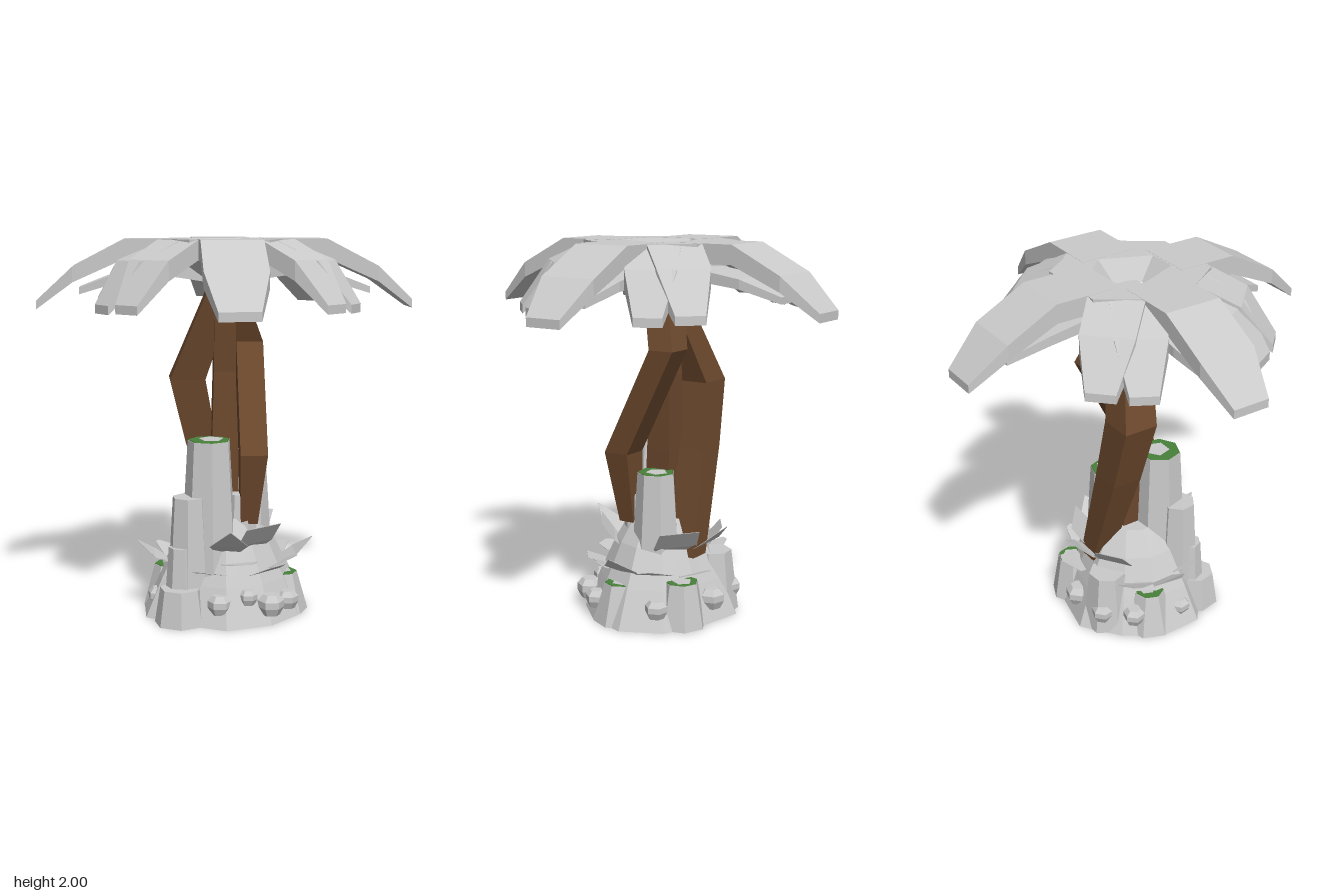
import * as THREE from 'three';

const paint = (name, color, side = THREE.FrontSide) => {
  const m = new THREE.MeshStandardMaterial({ color, side, flatShading: true });
  m.name = name;
  return m;
};

// Skin between rings of points, flat shaded, with optional end caps
function loft(rings, capped = true) {
  const pos = [], n = rings[0].length;
  const tri = (a, b, c) => pos.push(...a, ...b, ...c);
  for (let r = 0; r < rings.length - 1; r++) {
    const a = rings[r], b = rings[r + 1];
    for (let i = 0; i < n; i++) {
      const j = (i + 1) % n;
      tri(a[i], a[j], b[j]);
      tri(a[i], b[j], b[i]);
    }
  }
  if (capped) {
    const s = rings[0], e = rings[rings.length - 1];
    for (let i = 1; i < n - 1; i++) {
      tri(s[0], s[i + 1], s[i]);
      tri(e[0], e[i], e[i + 1]);
    }
  }
  const g = new THREE.BufferGeometry();
  g.setAttribute('position', new THREE.Float32BufferAttribute(pos, 3));
  g.computeVertexNormals();
  return g;
}

// Level ring of n points around (x, z), with mildly uneven radii
const ring = (x, y, z, r, n, turn = 0, rough = 0, sx = 1) =>
  Array.from({ length: n }, (_, i) => {
    const a = turn + (i / n) * Math.PI * 2;
    const q = r * (1 + rough * Math.sin(i * 2.4 + turn * 5));
    return [x + q * sx * Math.cos(a), y, z - q * Math.sin(a)];
  });

export function createModel() {
  const model = new THREE.Group();
  const stone = paint('paleGrey', 0xcacaca);
  const thin = paint('paleGreyThin', 0xcacaca, THREE.DoubleSide);
  const bark = paint('barkBrown', 0x6b482d);
  const moss = paint('mossGreen', 0x478039);
  const add = (name, geo, mat, parent = model) => {
    const m = new THREE.Mesh(geo, mat);
    m.name = name;
    parent.add(m);
    return m;
  };

  // Fronds: rows are [distance out, top y, half width, thickness]
  const canopy = new THREE.Group();
  canopy.name = 'canopy';
  model.add(canopy);
  const frond = (name, deg, rows) => {
    const geo = loft(rows.map(([r, y, w, t]) =>
      [[w, y - t, r], [w, y, r], [-w, y, r], [-w, y - t, r]]));
    add(name, geo, stone, canopy).rotation.y = THREE.MathUtils.degToRad(deg);
  };
  const longRows = [[0.2, 2, 0.155, 0.1], [0.52, 2, 0.155, 0.1], [0.79, 1.86, 0.155, 0.08], [0.98, 1.685, 0.1, 0.045]];
  const lowRows = [[0.07, 1.87, 0.05, 0.1], [0.3, 1.87, 0.13, 0.06], [0.55, 1.83, 0.13, 0.05], [0.76, 1.75, 0.08, 0.035]];
  const sideRows = [[0.2, 1.997, 0.1, 0.1], [0.36, 1.997, 0.14, 0.1], [0.57, 1.9, 0.135, 0.1], [0.73, 1.685, 0.075, 0.045]];
  for (let k = 0; k < 4; k++) {
    frond('longFrond', k * 90, longRows);
    frond('lowerFrond', k * 90, lowRows);
  }
  for (const s of [1, -1]) {
    for (const base of [0, 180]) {
      frond('cornerFrond', base + s * 45, sideRows);
      frond('cornerFrond', base + s * 61, sideRows.map(([r, y, w, t]) => [r, y - 0.008, w * 0.94, t]));
    }
  }

  // Flat crown plate with a six-sided opening
  const hole = [[0.1, -0.16], [0.19, -0.07], [0.08, 0.19], [-0.08, 0.19], [-0.19, -0.07], [-0.1, -0.16]];
  const plate = new THREE.Shape(
    [[0.33, 0.16], [0.2, 0.35], [-0.2, 0.35], [-0.33, 0.16], [-0.33, -0.16], [-0.2, -0.35], [0.2, -0.35], [0.33, -0.16]]
      .map(p => new THREE.Vector2(...p)));
  plate.holes.push(new THREE.Path(hole.map(([x, z]) => new THREE.Vector2(x, -z))));
  const plateGeo = new THREE.ExtrudeGeometry(plate, { depth: 0.09, bevelEnabled: false });
  plateGeo.rotateX(-Math.PI / 2).translate(0, 1.909, 0);
  add('crownPlate', plateGeo, stone, canopy);
  const at = (k, y) => hole.map(([x, z]) => [x * k, y, z * k]);
  add('crownFunnel', loft([at(1, 1.999), at(0.5, 1.89)], false), thin, canopy);
  const heart = new THREE.BoxGeometry(0.15, 0.14, 0.15);
  add('crownHeart', heart, stone, canopy).position.y = 1.83;
  add('crownUnderside', loft([ring(0, 1.76, 0, 0.08, 8), ring(0, 1.92, 0, 0.33, 8)], false), stone, canopy);

  // Three bent trunks, listed from foot to crown as [x, y, z, half width]
  const trunk = (name, path) => add(name, loft(path.map(([x, y, z, w]) =>
    [[x + w, y, z + w], [x + w, y, z - w], [x - w, y, z - w], [x - w, y, z + w]])), bark);
  trunk('leftTrunk', [[0.03, 0.34, -0.21, 0.06], [-0.12, 0.9, -0.16, 0.085], [-0.195, 1.25, -0.13, 0.095], [-0.03, 1.7, -0.03, 0.075], [0, 1.84, 0, 0.06]]);
  trunk('rightTrunk', [[0.12, 0.5, 0.11, 0.045], [0.14, 0.88, 0.145, 0.072], [0.14, 1.45, -0.14, 0.072], [0.04, 1.7, -0.05, 0.075], [0, 1.84, 0, 0.06]]);
  trunk('middleTrunk', [[0.0, 0.45, -0.02, 0.075], [0.0, 0.9, -0.03, 0.07], [0.0, 1.3, -0.04, 0.058], [0, 1.8, 0, 0.055]]);

  // Rock mound
  const rocks = new THREE.Group();
  rocks.name = 'rocks';
  model.add(rocks);
  add('mound', loft([
    ring(0, 0, 0, 0.405, 11, 0.1, 0.06, 1.1),
    ring(0, 0.2, 0, 0.325, 11, 0.1, 0.06, 1.1),
    ring(0, 0.4, 0, 0.235, 11, 0.1, 0.05, 1.1),
    ring(0, 0.53, 0, 0.165, 11, 0.1, 0.05)]), stone, rocks);

  // Tapered stone pillars: x, z, top radius, foot radius, height, mossy top
  const pillars = [
    [-0.09, 0.125, 0.115, 0.17, 0.95, true],
    [-0.2, 0.18, 0.09, 0.13, 0.66, false],
    [0.13, -0.06, 0.1, 0.15, 0.79, true],
    [0.08, 0.08, 0.075, 0.12, 0.655, false],
    [-0.24, 0.22, 0.07, 0.1, 0.4, false],
    [-0.25, 0.26, 0.11, 0.14, 0.19, false],
    [0.3, 0.05, 0.09, 0.15, 0.21, true],
    [0.19, -0.26, 0.09, 0.13, 0.24, true],
    [-0.3, -0.08, 0.08, 0.14, 0.23, true],
    [-0.14, -0.25, 0.1, 0.14, 0.33, false],
  ];
  pillars.forEach(([x, z, rt, rb, h, green], i) => {
    const turn = i * 0.7 + 0.3;
    add('pillar', loft([ring(x, 0, z, rb, 7, turn), ring(x, h, z, rt, 7, turn)]), stone, rocks);
    if (!green) return;
    add('mossCap', loft([ring(x, h, z, rt * 0.98, 7, turn), ring(x, h + 0.004, z, rt * 0.96, 7, turn)]), moss, rocks);
    add('bareTop', loft([ring(x + 0.01, h, z - 0.01, rt * 0.6, 5, turn), ring(x + 0.01, h + 0.007, z - 0.01, rt * 0.58, 5, turn)]), stone, rocks);
  });

  // Small faceted boulders around the foot: x, y, z, radius
  const boulders = [
    [0.22, 0.11, 0.32, 0.07], [-0.05, 0.12, 0.34, 0.065], [0.1, 0.15, 0.32, 0.05],
    [0.32, 0.1, 0.2, 0.06], [0.34, 0.12, -0.2, 0.06], [-0.33, 0.13, -0.2, 0.06],
    [0.02, 0.12, -0.34, 0.07], [-0.2, 0.12, -0.32, 0.06], [-0.36, 0.1, 0.08, 0.06],
  ];
  boulders.forEach(([x, y, z, r], i) => add('boulder', loft([
    ring(x, y - r * 0.8, z, r * 0.7, 6, i),
    ring(x, y - r * 0.2, z, r, 6, i),
    ring(x, y + r * 0.3, z, r, 6, i),
    ring(x, y + r * 0.75, z, r * 0.6, 6, i)]), stone, rocks));

  // Thin blades: degrees from front, base radius and y, tip radius and y, half width, tip half width
  const blades = [
    [0, 0.2, 0.35, 0.42, 0.52, 0.1, 0.003], [180, 0.2, 0.35, 0.42, 0.52, 0.1, 0.003],
    [90, 0.28, 0.26, 0.48, 0.39, 0.1, 0.003], [-90, 0.28, 0.26, 0.48, 0.39, 0.1, 0.003],
    [36, 0.18, 0.34, 0.32, 0.51, 0.12, 0.12], [142, 0.18, 0.34, 0.32, 0.5, 0.12, 0.11],
    [-145, 0.2, 0.33, 0.33, 0.47, 0.11, 0.08],
    [-20, 0.22, 0.25, 0.4, 0.3, 0.1, 0.01], [40, 0.22, 0.23, 0.4, 0.31, 0.11, 0.06],
    [12, 0.2, 0.31, 0.35, 0.33, 0.1, 0.05], [65, 0.22, 0.25, 0.41, 0.33, 0.1, 0.02],
    [118, 0.22, 0.25, 0.41, 0.32, 0.1, 0.02], [160, 0.22, 0.24, 0.4, 0.3, 0.1, 0.03],
    [-60, 0.22, 0.27, 0.4, 0.33, 0.09, 0.01], [-118, 0.22, 0.25, 0.41, 0.33, 0.1, 0.02],
  ];
  for (const [deg, r0, y0, r1, y1, w, tw] of blades) {
    const rm = r0 + (r1 - r0) * 0.5, ym = y0 + (y1 - y0) * 0.42;
    const row = (r, y, h) => [[h, y - 0.003, r], [h, y, r], [-h, y, r], [-h, y - 0.003, r]];
    const geo = loft([row(r0, y0, w * 0.5), row(rm, ym, w), row(r1, y1, tw)]);
    add('blade', geo, thin, rocks).rotation.y = THREE.MathUtils.degToRad(deg);
  }
  return model;
}
